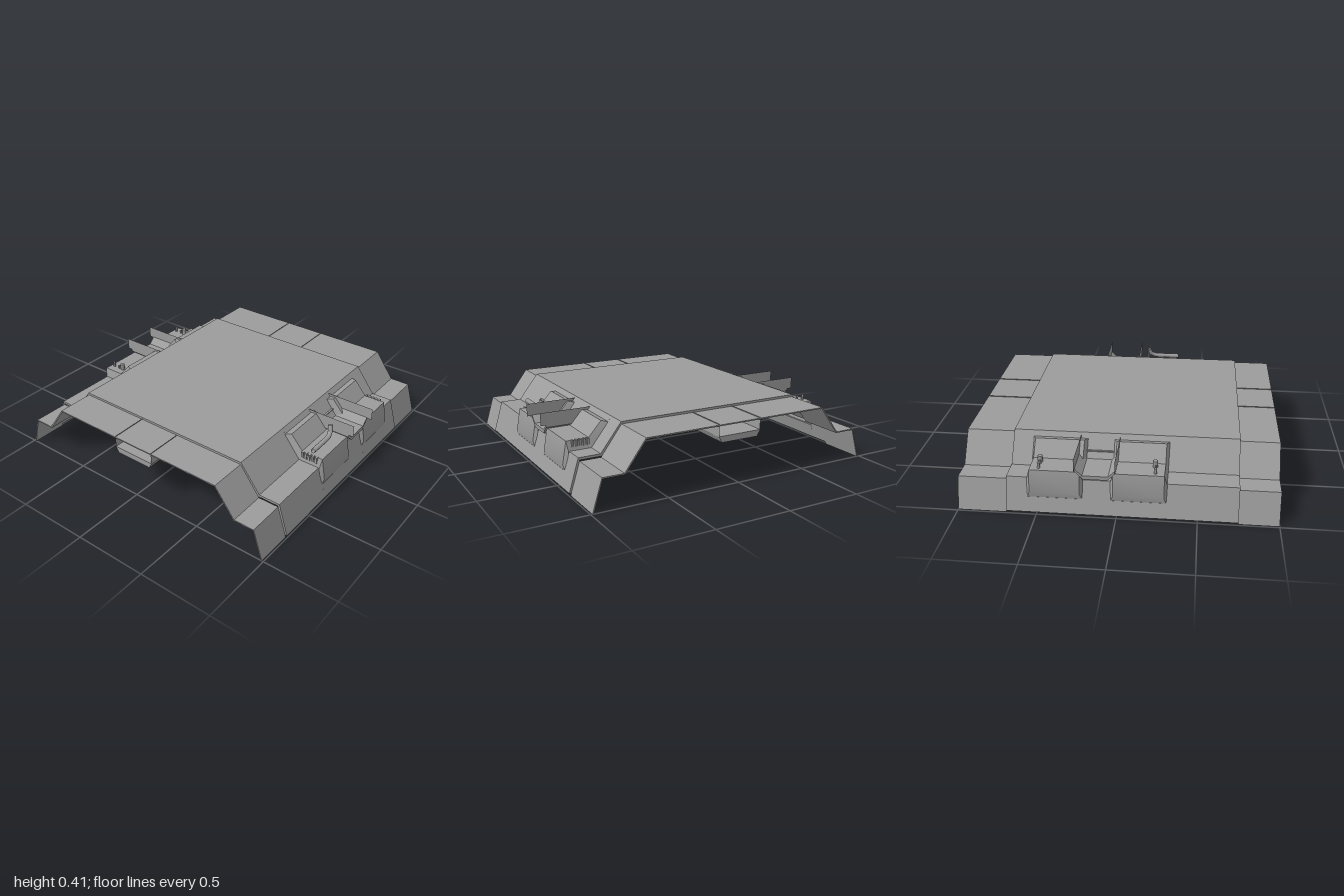
import * as THREE from 'three';
import { toCreasedNormals } from 'three/addons/utils/BufferGeometryUtils.js';

export function createModel() {
  const root = new THREE.Group();
  const mat = new THREE.MeshStandardMaterial({ color: 0x9c9c9c });
  const thin = new THREE.MeshStandardMaterial({ color: 0x9c9c9c, side: THREE.DoubleSide });
  const CX = 0.13; // centre line of the lengthwise duct

  const add = (name, geo, m = mat, crease = 0.4) => {
    const mesh = new THREE.Mesh(toCreasedNormals(geo, crease), m);
    mesh.name = name;
    root.add(mesh);
  };
  const box = (name, x0, x1, y0, y1, z0, z1) =>
    add(name, new THREE.BoxGeometry(x1 - x0, y1 - y0, z1 - z0)
      .translate((x0 + x1) / 2, (y0 + y1) / 2, (z0 + z1) / 2));
  const extrude = (pts, depth) => new THREE.ExtrudeGeometry(
    new THREE.Shape(pts.map(([a, b]) => new THREE.Vector2(a, b))), { depth, bevelEnabled: false });
  // Sweeps a closed (z, y) profile along x
  const sweep = (name, pts, x0, x1) =>
    add(name, extrude(pts, x1 - x0).rotateY(-Math.PI / 2).translate(x1, 0, 0));
  const rod = (name, pts, r) => add(name, new THREE.TubeGeometry(
    new THREE.CatmullRomCurve3(pts.map(p => new THREE.Vector3(...p)), false, 'catmullrom', 0.2), 24, r, 10), thin, 0.8);
  // Indexed surface through a grid of points, row by row
  const grid = (name, rows) => {
    const n = rows[0].length, idx = [];
    for (let r = 0; r < rows.length - 1; r++)
      for (let c = 0; c < n - 1; c++) {
        const a = r * n + c;
        idx.push(a, a + n, a + 1, a + 1, a + n, a + n + 1);
      }
    const geo = new THREE.BufferGeometry();
    geo.setAttribute('position', new THREE.Float32BufferAttribute(rows.flat(2), 3));
    geo.setIndex(idx);
    add(name, geo, thin);
  };
  // Folded sheet of thickness t following a slope, ledge and skirt on side s
  const flank = (name, pts, s, x0, x1, t) => {
    const inner = pts.map(([z, y]) => (y > 0.15 ? [z - t * 0.6, y - t] : [z - t, y]));
    sweep(name, [...pts, ...inner.reverse()].map(([z, y]) => [z * s, y]), x0, x1);
  };

  // Roof plates: raised middle with lower strips at both ends
  const middle = [[0.65, 0.408], [0.79, 0.228], [0.935, 0.228], [0.998, 0.015]];
  const end = [[0.648, 0.393], [0.787, 0.206], [0.927, 0.206], [0.99, 0]];
  box('middleRoof', -0.75, 0.69, 0.39, 0.408, -0.65, 0.65);
  for (const [x0, x1] of [[-1, -0.75], [0.69, 1]]) {
    box('endRoof', x0, x1, 0.385, 0.393, -0.648, 0.648);
    for (const s of [-1, 1]) flank('endFlank', end, s, x0, x1, 0.008);
  }

  // Faceted housing: base outline on the shell, inset raised face
  const base = [[0.675, 0.377], [0.79, 0.222], [0.94, 0.222], [0.967, 0.1]];
  const face = [[0.715, 0.386], [0.8, 0.29], [0.95, 0.29], [0.975, 0.145]];
  const inset = 0.018;
  const housing = (s, x0, x1) => {
    const at = (x, [z, y]) => [x, y, z * s];
    const row = (b, f) => [at(x0, b), at(x0 + inset, f), at(x1 - inset, f), at(x1, b)];
    grid('housing', [row(base[0], base[0]), ...base.map((b, i) => row(b, face[i])), row(base[3], base[3])]);
  };

  for (const s of [-1, 1]) {
    for (const [x0, x1] of [[-0.75, -0.305], [0.035, 0.215], [0.555, 0.69]])
      flank('middleFlank', middle, s, x0, x1, 0.016);
    for (const [x0, x1] of [[-0.31, 0.04], [0.21, 0.56]]) {
      housing(s, x0, x1);
      // Shell above and below the opening, with louvres across its ledge
      flank('upperFlank', [[0.65, 0.408], [0.68, 0.37]], s, x0 + 0.005, x1 - 0.005, 0.016);
      flank('lowerSkirt', [[0.97, 0.11], [0.998, 0.015]], s, x0 + 0.005, x1 - 0.005, 0.016);
      for (let i = 0; i < 8; i++) {
        const z = s * (0.795 + i * 0.019);
        box('louvre', x0 + 0.02, x1 - 0.02, 0.212, 0.228, z - 0.006, z + 0.006);
      }
    }
  }

  // Bolt rows along the front housings
  for (const x of [-0.297, 0.547])
    for (let i = 0; i < 5; i++) {
      const z = 0.81 + i * 0.025;
      box('bolt', x - 0.012, x + 0.012, 0.25, 0.293, z - 0.007, z + 0.007);
    }

  // Bent pipe on the front and the pipes below the shell
  rod('frontPipe', [[-0.305, 0.335, 0.885], [-0.2, 0.335, 0.885], [-0.12, 0.337, 0.885],
    [-0.08, 0.355, 0.875], [-0.065, 0.395, 0.865]], 0.016);
  rod('innerFrontPipe', [[-0.07, 0.36, 0.7], [-0.07, 0.33, 0.7], [-0.11, 0.315, 0.7],
    [-0.24, 0.315, 0.7], [-0.28, 0.345, 0.7]], 0.013);
  add('innerBackPipe', new THREE.CylinderGeometry(0.022, 0.022, 0.2, 12)
    .rotateZ(Math.PI / 2).translate(-0.15, 0.19, -0.89), mat, 0.8);

  // Pins on the back housings
  for (const x of [-0.23, 0.49])
    for (const [dx, z, r, h] of [[0, -0.84, 0.016, 0.045], [-0.005, -0.92, 0.009, 0.04], [-0.005, -0.87, 0.007, 0.025]])
      add('pin', new THREE.CylinderGeometry(r, r, h, 10).translate(x + dx, 0.288 + h / 2, z), mat, 0.8);

  // Crossing ducts: rounded corner walls over a cross-shaped floor
  const W = 0.125, D = 0.15, RX = 0.28, RZ = 0.2;
  const corner = (sx, sz, zEnd) => {
    const pts = [[sx, sz * D]];
    for (let i = 0; i <= 12; i++) {
      const a = (i / 12) * Math.PI / 2;
      pts.push([CX + sx * (W + RX * (1 - Math.sin(a))), sz * (D + RZ * (1 - Math.cos(a)))]);
    }
    return [...pts, [CX + sx * W, sz * zEnd]];
  };
  const outline = [];
  [[1, 1], [-1, 1], [-1, -1], [1, -1]].forEach(([sx, sz], i) => {
    grid('ductWall', [0.315, 0.398].map(y => corner(sx, sz, 1).map(([x, z]) => [x, y, z])));
    const edge = corner(sx, sz, 0.73);
    outline.push(...(i % 2 ? edge.reverse() : edge));
  });
  add('ductFloor', extrude(outline, 0.006).rotateX(Math.PI / 2).translate(0, 0.32, 0));

  // Open troughs where the lengthwise duct leaves the shell
  const channel = [[-W, 0.32], [-0.08, 0.275], [0.08, 0.275], [W, 0.32],
    [W, 0.3], [0.075, 0.25], [-0.075, 0.25], [-W, 0.3]];
  for (const z of [-0.965, 0.72])
    add('endChannel', extrude(channel, 0.245).translate(CX, 0, z));

  // Shallow trough below the crosswise duct arms
  const trough = [[-0.15, 0.317], [-0.13, 0.28], [0.13, 0.28], [0.15, 0.317]];
  sweep('leftTrough', trough, CX + 0.4, 1);
  sweep('rightTrough', trough, -1, CX - 0.4);

  // Stepped round fitting under the crossing
  add('ceilingRing', new THREE.LatheGeometry(
    [[0, 0.285], [0.125, 0.285], [0.13, 0.27], [0.15, 0.27], [0.155, 0.25], [0.195, 0.25],
      [0.205, 0.285], [0.22, 0.29], [0.22, 0.316]].map(([r, y]) => new THREE.Vector2(r, y)), 32)
    .translate(CX, 0, 0), thin);

  return root;
}
